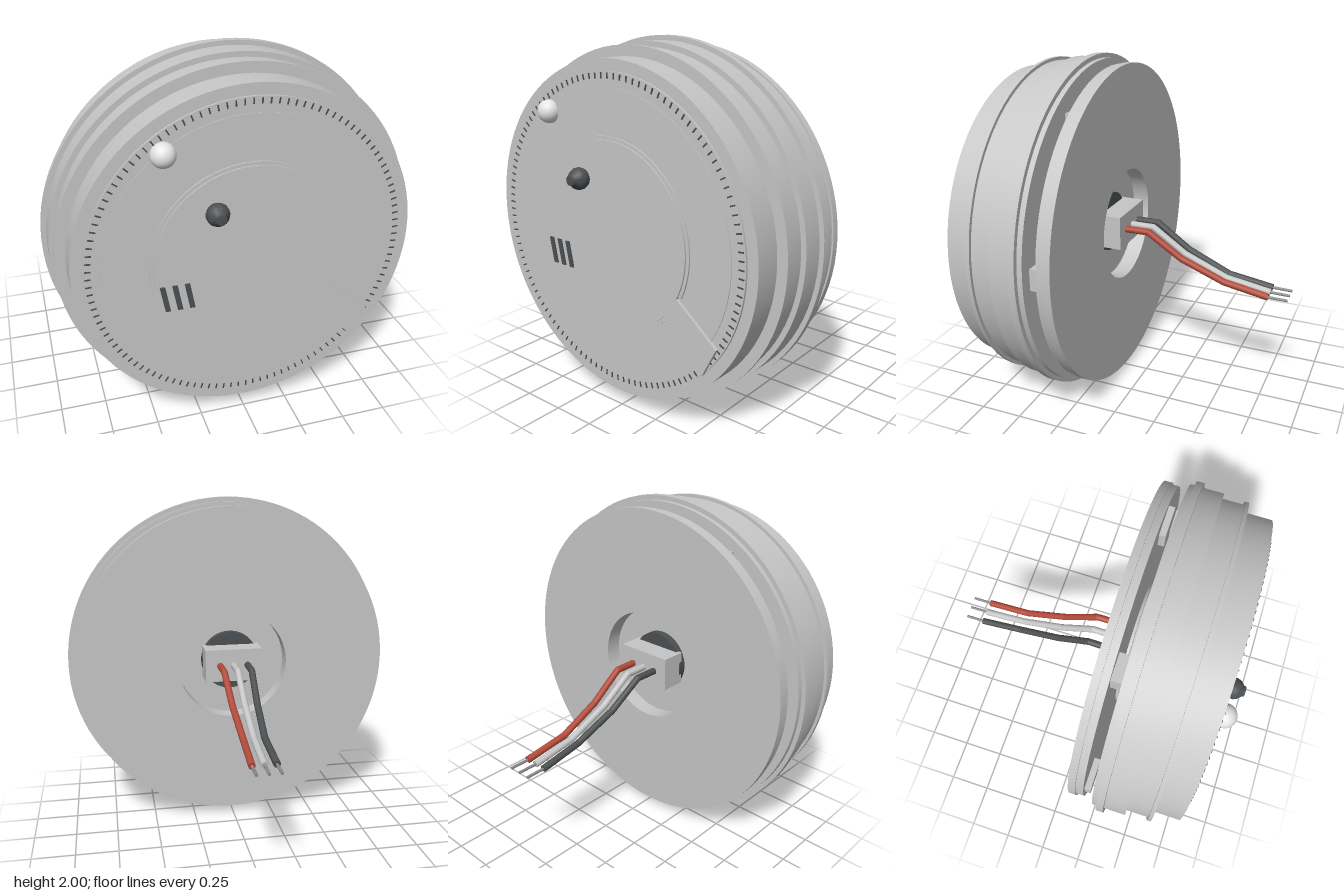
import * as THREE from 'three';
import { toCreasedNormals } from 'three/addons/utils/BufferGeometryUtils.js';

const mat = (name, color) => {
  const m = new THREE.MeshStandardMaterial({ color });
  m.name = name;
  return m;
};

export function createModel() {
  const shell = mat('shell grey', 0xc6c6c6);
  const clear = mat('lens white', 0xe4e4e4);
  const dark = mat('dark grey', 0x4c5052);
  const red = mat('wire red', 0xb24a3a);
  const metal = mat('wire core grey', 0x8c8c8c);

  const model = new THREE.Group();
  model.name = 'ceilingDetector';
  const unit = new THREE.Group(); // origin on the round axis, which runs along z
  unit.name = 'detector';
  unit.position.y = 1;
  model.add(unit);

  const add = (name, geo, material, parent = unit) => {
    const mesh = new THREE.Mesh(geo, material);
    mesh.name = name;
    parent.add(mesh);
    return mesh;
  };
  // Turned part: profile of [radius, z] pairs, from back to front
  const turned = (pts, seg = 96) => toCreasedNormals(
    new THREE.LatheGeometry(pts.map(([r, z]) => new THREE.Vector2(r, z)), seg).rotateX(Math.PI / 2), 0.5);
  const box = (name, w, h, d, x, y, z, material) =>
    add(name, new THREE.BoxGeometry(w, h, d), material).position.set(x, y, z);
  const plate = (shape, z0, z1) =>
    new THREE.ExtrudeGeometry(shape, { depth: z1 - z0, bevelEnabled: false, curveSegments: 72 }).translate(0, 0, z0);

  // Stepped body
  add('body', turned([
    [0, 0.27], [0.974, 0.27], [0.974, 0.3], [1, 0.3], [1, 0.342], [0.974, 0.342],
    [0.974, 0.465], [0.945, 0.465], [0.945, 0.588], [0.963, 0.588], [0.963, 0.61],
    [0.905, 0.61], [0.905, 0.762], [0.845, 0.762], [0.845, 0.774], [0, 0.774],
  ]), shell);
  add('faceDisc', turned([[0.765, 0.77], [0.765, 0.778], [0, 0.778]]), shell);

  // Mounting plate with centre hole and lip
  add('mountingPlate', turned([
    [0.335, 0.125], [0.955, 0.125], [0.955, 0.167], [0.945, 0.167], [0.945, 0.21],
    [0.36, 0.21], [0.36, 0.225], [0.335, 0.225], [0.335, 0.125],
  ]), shell);

  // Locking tabs between the plate and the body
  for (let i = 0; i < 3; i++) {
    const a = i * Math.PI * 2 / 3, b = a + Math.PI / 3, r = 0.83;
    box('bodyTab', 0.15, 0.12, 0.07, r * Math.cos(a), r * Math.sin(a), 0.24, shell);
    box('plateTab', 0.18, 0.11, 0.04, r * Math.cos(b), r * Math.sin(b), 0.225, shell);
  }

  // Ring of small marks around the face
  const marks = new THREE.Group();
  marks.name = 'faceMarks';
  unit.add(marks);
  const markGeo = new THREE.BoxGeometry(0.03, 0.007, 0.008);
  const markCount = 120;
  for (let i = 0; i < markCount; i++) {
    const a = i / markCount * Math.PI * 2;
    const m = add('faceMark', markGeo, dark, marks);
    m.position.set(0.822 * Math.cos(a), 0.822 * Math.sin(a), 0.774);
    m.rotation.z = a;
  }

  // Test button: disc with a strip running to the lower right
  const a0 = Math.atan2(-0.235, 0.444), a1 = Math.atan2(-0.357, 0.363) + Math.PI * 2;
  const key = new THREE.Shape();
  key.absarc(0, 0, 0.503, a0, a1, false);
  key.lineTo(0.604, -0.598);
  key.lineTo(0.69, -0.435);
  key.closePath();
  add('testButton', plate(key, 0.77, 0.794), shell);

  const rim = new THREE.Shape();
  rim.absarc(0, 0, 0.522, a0 + 0.03, a1 - 0.03, false);
  rim.absarc(0, 0, 0.5, a1 - 0.03, a0 + 0.03, true);
  rim.closePath();
  add('testButtonRim', plate(rim, 0.77, 0.786), shell);

  // Slanted sounder slots
  for (let i = 0; i < 3; i++) {
    const x = -0.475 + i * 0.064;
    const slot = new THREE.Shape([[x, -0.096], [x + 0.027, -0.24], [x + 0.054, -0.24], [x + 0.027, -0.096]]
      .map(([px, py]) => new THREE.Vector2(px, py)));
    add('sounderSlot', plate(slot, 0.794, 0.803), dark);
  }

  // Indicator dome and sensor knob
  add('indicatorDome', new THREE.SphereGeometry(0.063, 32, 20), clear).position.set(-0.437, 0.608, 0.785);
  add('sensorKnob', turned([
    [0.03, 0.78], [0.05, 0.795], [0.059, 0.815], [0.059, 0.835], [0.05, 0.855],
    [0.032, 0.873], [0.027, 0.887], [0, 0.89],
  ], 32), dark).position.set(-0.185, 0.285, 0);

  // Socket and plug on the back
  add('socket', turned([[0, 0.225], [0.18, 0.225], [0.18, 0.272], [0, 0.272]], 48), dark);
  box('plug', 0.35, 0.2, 0.15, 0, 0, 0.17, shell);

  // Three bent wires with bare ends
  const rod = (name, p, q, r, material, parent) => {
    const dir = q.clone().sub(p);
    const m = add(name, new THREE.CylinderGeometry(r, r, dir.length(), 12), material, parent);
    m.position.copy(p).add(q).multiplyScalar(0.5);
    m.quaternion.setFromUnitVectors(new THREE.Vector3(0, 1, 0), dir.normalize());
  };
  const course = [[0.085, 0, 0.11], [0.083, 0, -0.045], [0.073, -0.14, -0.25], [0.06, -0.25, -0.51], [0.066, -0.294, -0.775]];
  [['redWire', 1, red], ['greyWire', 0, shell], ['darkWire', -1, dark]].forEach(([name, side, material]) => {
    const wire = new THREE.Group();
    wire.name = name;
    unit.add(wire);
    const pts = course.map(([x, y, z]) => new THREE.Vector3(x * side, y, z));
    for (let i = 1; i < pts.length; i++) {
      rod('insulation', pts[i - 1], pts[i], 0.02, material, wire);
      if (i < pts.length - 1) add('bend', new THREE.SphereGeometry(0.02, 12, 8), material, wire).position.copy(pts[i]);
    }
    const end = pts[pts.length - 1];
    rod('bareEnd', end, new THREE.Vector3(end.x, -0.296, -0.887), 0.008, metal, wire);
  });

  return model;
}
